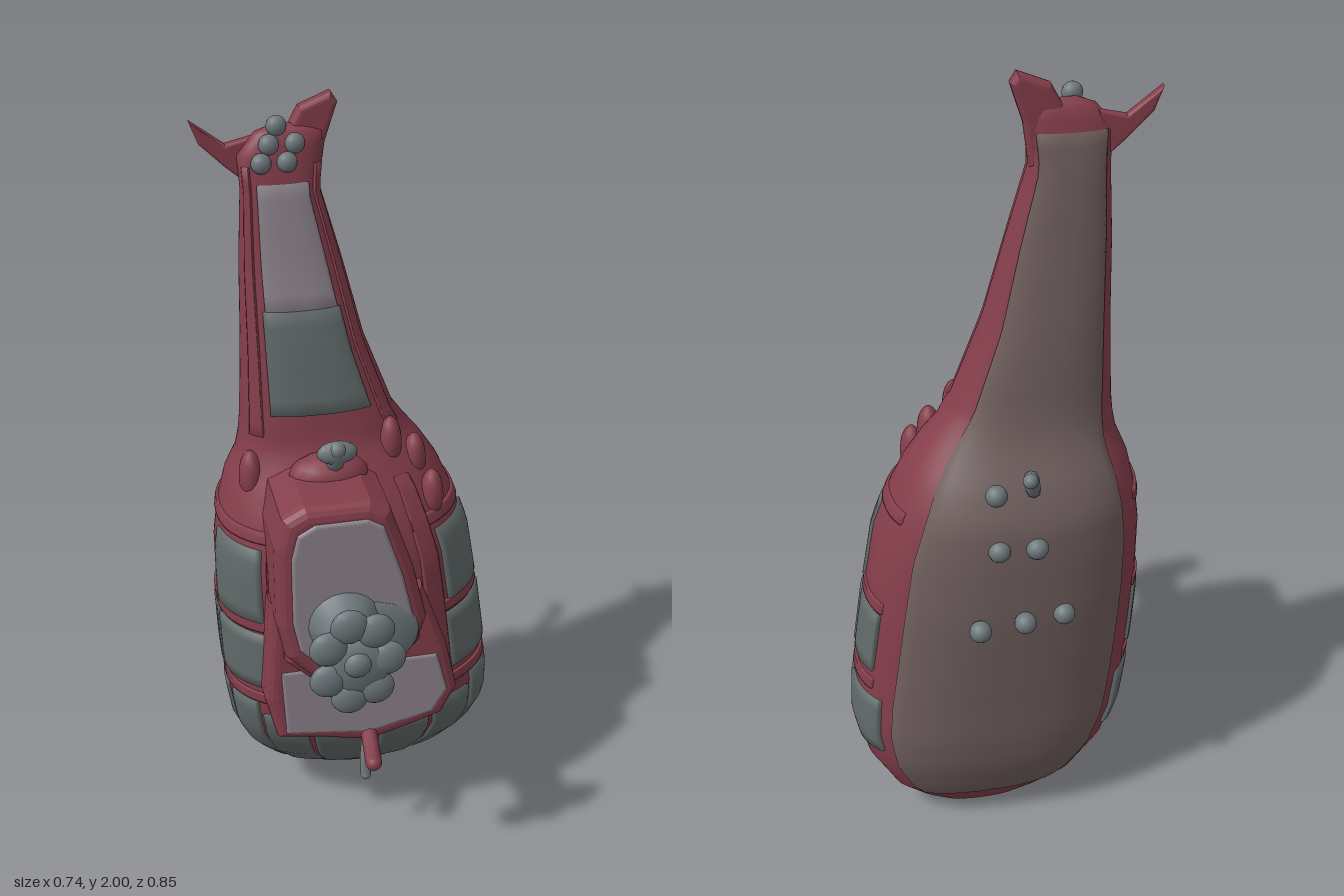
import * as THREE from 'three';
import { mergeVertices } from 'three/addons/utils/BufferGeometryUtils.js';

const mat = (color) => new THREE.MeshStandardMaterial({ color });
const RED = mat(0x853e4b), GLASS = mat(0x626b6a), BELLY = mat(0x705f5e), PALE = mat(0x8d838c), METAL = mat(0x6d777b);

// Hull stations along the length: y, x min, x max, z back, z front
const STATIONS = [
  [0, 0.04, 0.06, -0.21, -0.19], [0.02, -0.06, 0.15, -0.235, -0.165], [0.05, -0.13, 0.21, -0.255, -0.135],
  [0.1, -0.21, 0.275, -0.285, -0.085], [0.2, -0.29, 0.34, -0.32, 0.005], [0.3, -0.33, 0.365, -0.335, 0.075],
  [0.4, -0.345, 0.36, -0.34, 0.105], [0.55, -0.355, 0.34, -0.35, 0.11], [0.7, -0.36, 0.32, -0.36, 0.11],
  [0.85, -0.36, 0.295, -0.36, 0.11], [0.95, -0.345, 0.26, -0.355, 0.09], [1.03, -0.325, 0.225, -0.325, 0.05],
  [1.1, -0.295, 0.18, -0.285, 0.01], [1.15, -0.285, 0.14, -0.265, -0.015], [1.2, -0.28, 0.105, -0.255, -0.025],
  [1.4, -0.27, 0.03, -0.24, -0.05], [1.6, -0.265, -0.02, -0.22, -0.085], [1.78, -0.255, -0.07, -0.205, -0.105],
  [1.86, -0.26, -0.06, -0.195, -0.115], [1.91, -0.22, -0.06, -0.185, -0.125], [1.93, -0.17, -0.11, -0.16, -0.15],
];

// Point on the hull at an angle (0 = left side, 90 degrees = front) and height.
// The back is boxy, the front left is chamfered more than the front right.
function hullPoint(theta, y, off = 0) {
  let i = 0;
  while (i < STATIONS.length - 2 && y > STATIONS[i + 1][0]) i++;
  const a = STATIONS[i], b = STATIONS[i + 1];
  const t = (y - a[0]) / (b[0] - a[0]);
  const [, x0, x1, z0, z1] = a.map((v, k) => v + (b[k] - v) * t);
  const c = Math.cos(theta), s = Math.sin(theta);
  const front = c > 0 ? 1 : 0.88;
  const e = y > 1.15 || s <= 0 ? 0.82 : front;
  const pow = (v) => Math.sign(v) * Math.abs(v) ** e;
  return [(x0 + x1) / 2 + ((x1 - x0) / 2 + off) * pow(c), y, (z0 + z1) / 2 + ((z1 - z0) / 2 + off) * pow(s)];
}

// Regular grid of points turned into a smooth surface
function gridSurface(nu, nv, point) {
  const pos = [], idx = [];
  for (let i = 0; i <= nu; i++) for (let j = 0; j <= nv; j++) pos.push(...point(i, j));
  for (let i = 0; i < nu; i++) for (let j = 0; j < nv; j++) {
    const a = i * (nv + 1) + j, d = a + nv + 1;
    idx.push(a, a + 1, d + 1, a, d + 1, d);
  }
  let g = new THREE.BufferGeometry();
  g.setAttribute('position', new THREE.Float32BufferAttribute(pos, 3));
  g.setIndex(idx);
  g = mergeVertices(g, 1e-5);
  g.computeVertexNormals();
  return g;
}

export function createModel() {
  const root = new THREE.Group();
  const add = (name, geo, material, p = [0, 0, 0]) => {
    const m = new THREE.Mesh(geo, material);
    m.name = name;
    m.position.set(...p);
    root.add(m);
    return m;
  };
  const blob = (name, material, p, s) => add(name, new THREE.SphereGeometry(1, 14, 10), material, p).scale.set(...s);

  // Raised panel following the hull, its border sunk into the skin
  const panel = (name, material, d0, d1, y0, y1, off = 0.008) => {
    const nu = 16, nv = Math.max(8, Math.ceil((y1 - y0) * 32));
    const clamp = (k, n) => Math.min(Math.max((k - 1) / (n - 2), 0), 1);
    add(name, gridSurface(nu, nv, (i, j) => {
      const edge = i === 0 || j === 0 || i === nu || j === nv;
      return hullPoint(THREE.MathUtils.degToRad(d0 + (d1 - d0) * clamp(i, nu)),
        y0 + (y1 - y0) * clamp(j, nv), edge ? -0.01 : off);
    }), material);
  };
  const bothSides = (name, material, d0, d1, y0, y1, off) => {
    panel(name + 'Left', material, d0, d1, y0, y1, off);
    panel(name + 'Right', material, 180 - d1, 180 - d0, y0, y1, off);
  };

  // Hull with tail boom
  const heights = STATIONS.flatMap((s, i) => i ? [(s[0] + STATIONS[i - 1][0]) / 2, s[0]] : [s[0]]);
  add('hull', gridSurface(64, heights.length - 1, (i, j) => hullPoint((i % 64) / 64 * Math.PI * 2, heights[j])), RED);
  panel('bellyPanel', BELLY, 222, 318, 0.08, 1.86, 0.003);
  panel('boomFrontPanel', GLASS, 54, 126, 1.24, 1.5, 0.008);
  panel('boomUpperPanel', PALE, 56, 124, 1.5, 1.8, 0.004);
  bothSides('boomRail', RED, 28, 44, 1.18, 1.84, 0.006);

  // Nose glazing, side windows and the ribs framing them
  for (let k = 0; k < 6; k++) {
    const side = Math.abs(k - 2.5);
    panel('nosePane', GLASS, 13 + k * 26, 36 + k * 26, 0.09 + 0.02 * side, 0.34 + 0.035 * side);
  }
  bothSides('rearWindow', GLASS, 6, 46, 0.7, 0.91);
  bothSides('doorWindow', GLASS, 8, 50, 0.49, 0.66, 0.01);
  bothSides('doorRearPane', GLASS, -24, 3, 0.49, 0.66);
  bothSides('lowerWindow', GLASS, -34, 3, 0.25, 0.41);
  for (const y of [0.435, 0.67, 0.93]) bothSides('frameRib', RED, -25, 60, y, y + 0.03, 0.006);
  bothSides('frameRail', RED, 50, 60, 0.44, 1.06, 0.008);

  // Cowling plates with rounded edges
  const plate = (name, material, pts, z0, z1, bevel) => {
    const g = new THREE.ExtrudeGeometry(new THREE.Shape(pts.map(([x, y]) => new THREE.Vector2(x, y))),
      { depth: z1 - z0 - 2 * bevel, bevelThickness: bevel, bevelSize: bevel, bevelOffset: -bevel, bevelSegments: 4 });
    return add(name, g, material, [0, 0, z0 + bevel]);
  };
  plate('lowerCowl', RED, [[-0.25, 0.37], [-0.14, 0.35], [-0.01, 0.32], [0.1, 0.35], [0.19, 0.38], [0.23, 0.46],
    [0.2, 0.6], [0.13, 0.8], [-0.26, 0.8], [-0.28, 0.5]], -0.03, 0.125, 0.03);
  plate('lowerCowlFace', PALE, [[-0.23, 0.39], [-0.01, 0.36], [0.16, 0.4], [0.2, 0.47], [0.17, 0.59],
    [-0.24, 0.59]], 0.1, 0.13, 0.01);
  // Housing steps down towards the nose
  plate('housingStep', RED, [[-0.23, 0.64], [-0.17, 0.58], [0.04, 0.58], [0.12, 0.66], [0.1, 0.8], [-0.24, 0.8]],
    0.05, 0.165, 0.03);
  const housing = [[-0.235, 0.68], [-0.17, 0.61], [0.02, 0.61], [0.1, 0.67], [0.125, 0.75], [0.09, 0.9],
    [0.05, 1.02], [0.03, 1.08], [-0.02, 1.11], [-0.18, 1.11], [-0.235, 1.08], [-0.255, 1.0], [-0.255, 0.78]];
  plate('engineHousing', RED, housing, -0.06, 0.2, 0.035);
  plate('engineHousingFace', PALE, housing.map(([x, y]) => [-0.07 + (x + 0.07) * 0.8, 0.86 + (y - 0.86) * 0.84]),
    0.17, 0.207, 0.01);
  blob('housingCollar', RED, [-0.09, 1.1, 0.02], [0.1, 0.055, 0.06]);

  // Rotor mast and hub
  const mast = new THREE.LatheGeometry([[0.11, 0.18], [0.085, 0.215], [0.068, 0.25], [0.058, 0.29], [0.058, 0.33],
    [0.07, 0.36], [0.08, 0.385], [0.06, 0.405], [0, 0.41]].map(([r, h]) => new THREE.Vector2(r, h)), 20);
  mast.rotateX(Math.PI / 2);
  add('rotorMast', mast, METAL, [-0.09, 0.78, 0]);
  blob('mastFoot', METAL, [-0.04, 0.73, 0.2], [0.14, 0.11, 0.025]);
  for (let k = 0; k < 7; k++) {
    const a = k / 7 * Math.PI * 2;
    blob('hubLobe', METAL, [-0.1 + 0.075 * Math.cos(a), 0.8 + 0.105 * Math.sin(a), 0.39], [0.046, 0.046, 0.022]);
  }
  blob('hubCap', METAL, [-0.1, 0.8, 0.4], [0.035, 0.035, 0.025]);

  // Tail tip fins
  plate('tailFin', RED, [[-0.2, 1.78], [-0.07, 1.78], [-0.055, 1.88], [-0.025, 1.97], [-0.04, 1.995],
    [-0.115, 1.965], [-0.14, 1.92]], -0.182, -0.142, 0.014);
  plate('tailSpike', RED, [[-0.25, 1.8], [-0.22, 1.9], [-0.285, 1.885], [-0.365, 1.945], [-0.345, 1.89],
    [-0.285, 1.83]], -0.18, -0.155, 0.008);
  for (let k = 0; k < 5; k++)
    blob('tailHubBump', METAL, [-0.21 + 0.02 * k, 1.85 + 0.04 * (k % 3), -0.115 - 0.01 * (k % 3)], [0.024, 0.024, 0.02]);

  // Rods with rounded tips: exhaust, nose probes, rear horn
  const rod = (name, material, r, ...pts) => {
    const curve = new THREE.CatmullRomCurve3(pts.map((p) => new THREE.Vector3(...p)));
    add(name, new THREE.TubeGeometry(curve, 12, r, 8), material);
    blob(name + 'Tip', material, pts[pts.length - 1], [r, r, r]);
  };
  rod('exhaust', METAL, 0.022, [-0.08, 1.13, -0.03], [-0.08, 1.14, 0.04], [-0.08, 1.17, 0.075], [-0.08, 1.2, 0.085]);
  blob('exhaustCap', METAL, [-0.08, 1.19, 0.08], [0.05, 0.03, 0.022]);
  rod('upperProbe', RED, 0.022, [-0.01, 0.37, 0.1], [-0.01, 0.33, 0.15], [-0.01, 0.3, 0.18]);
  rod('lowerProbe', METAL, 0.014, [-0.01, 0.33, 0.1], [-0.02, 0.27, 0.12], [-0.02, 0.22, 0.13]);
  rod('rearHorn', METAL, 0.018, [-0.06, 1.03, -0.31], [-0.05, 1.06, -0.345], [-0.04, 1.105, -0.37], [-0.03, 1.12, -0.405]);

  // Small fittings on the belly
  for (const [x, y, z] of [[-0.13, 0.7, -0.36], [-0.03, 0.7, -0.38], [0.08, 0.69, -0.38], [-0.06, 0.9, -0.36],
    [0.03, 0.9, -0.355], [0.03, 1.03, -0.315]])
    blob('bellyFitting', METAL, [x, y, z], [0.027, 0.027, 0.027]);

  // Shoulder swellings where the boom meets the hull
  for (const [x, y, z] of [[0.145, 1.07, -0.06], [0.18, 0.99, -0.01], [-0.27, 1.07, -0.06], [0.08, 1.13, -0.05]])
    blob('shoulderSwelling', RED, [x, y, z], [0.03, 0.07, 0.035]);
  return root;
}
